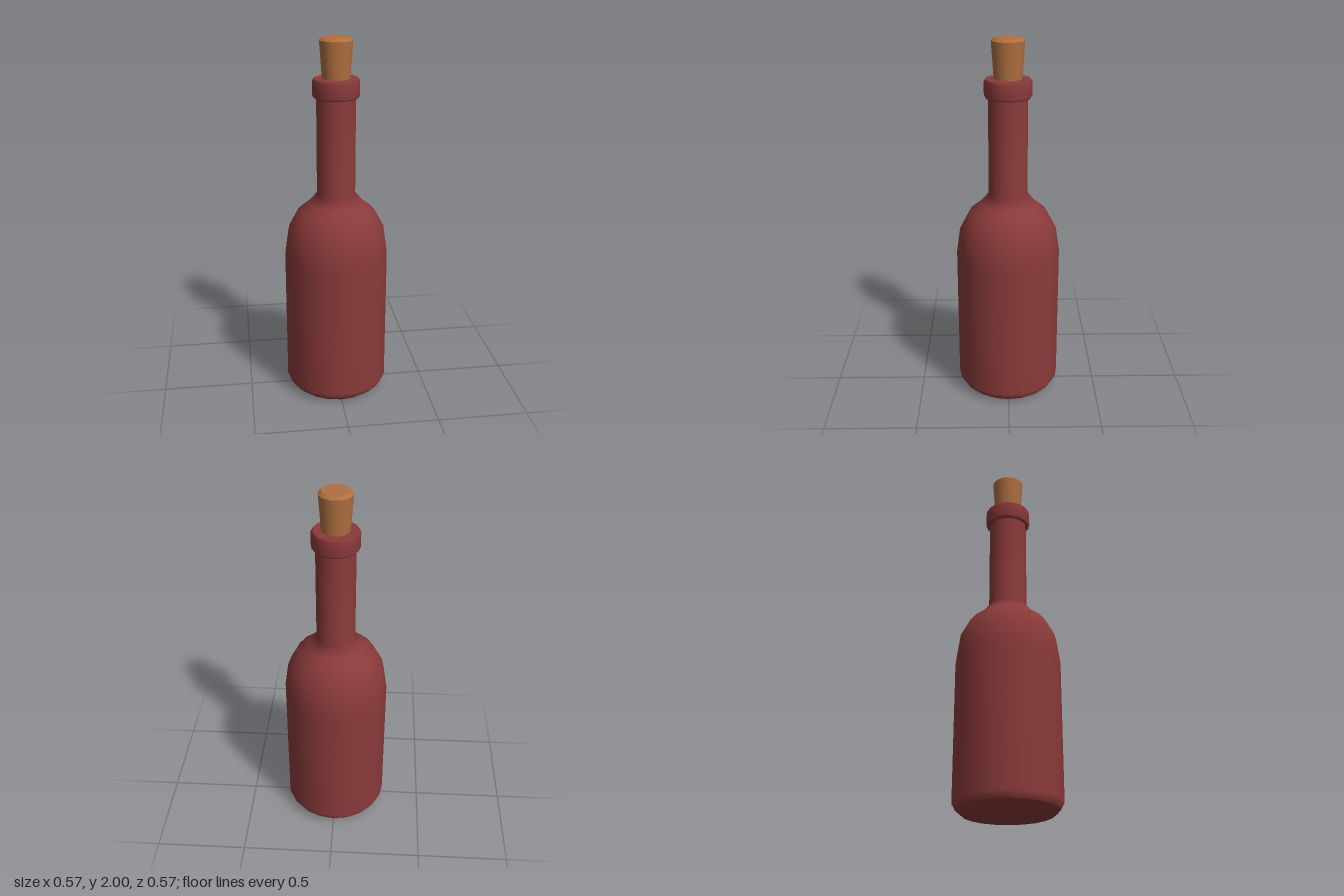
import * as THREE from 'three';
import { mergeGeometries } from 'three/addons/utils/BufferGeometryUtils.js';

const SIDES = 20;

// Each section is a smooth [radius, height] profile; edges between sections stay sharp.
function turned(name, material, sections) {
  const parts = sections.map((profile) =>
    new THREE.LatheGeometry(profile.map(([r, y]) => new THREE.Vector2(r, y)), SIDES));
  const mesh = new THREE.Mesh(mergeGeometries(parts), material);
  mesh.name = name;
  return mesh;
}

export function createModel() {
  const glass = new THREE.MeshStandardMaterial({ color: 0x8b3a3a });
  const corkMaterial = new THREE.MeshStandardMaterial({ color: 0xb07040 });
  const group = new THREE.Group();
  group.name = 'corkedBottle';

  // Base, then walls, rounded shoulder and neck
  group.add(turned('bottleBody', glass, [
    [[0, 0], [0.235, 0], [0.265, 0.025]],
    [[0.265, 0.025], [0.285, 0.06], [0.285, 0.82], [0.265, 0.96], [0.212, 1.06],
      [0.15, 1.11], [0.105, 1.165], [0.105, 1.7]],
  ]));

  // Raised ring around the mouth, with bevelled rims
  group.add(turned('lipRing', glass, [
    [[0.1, 1.69], [0.117, 1.69]],
    [[0.117, 1.69], [0.126, 1.703], [0.126, 1.777], [0.117, 1.79]],
    [[0.117, 1.79], [0.06, 1.79]],
  ]));

  // Tapered stopper with a bevelled top
  group.add(turned('cork', corkMaterial, [
    [[0, 1.74], [0.071, 1.74]],
    [[0.071, 1.74], [0.088, 1.985]],
    [[0.088, 1.985], [0.072, 2]],
    [[0.072, 2], [0, 2]],
  ]));

  return group;
}
